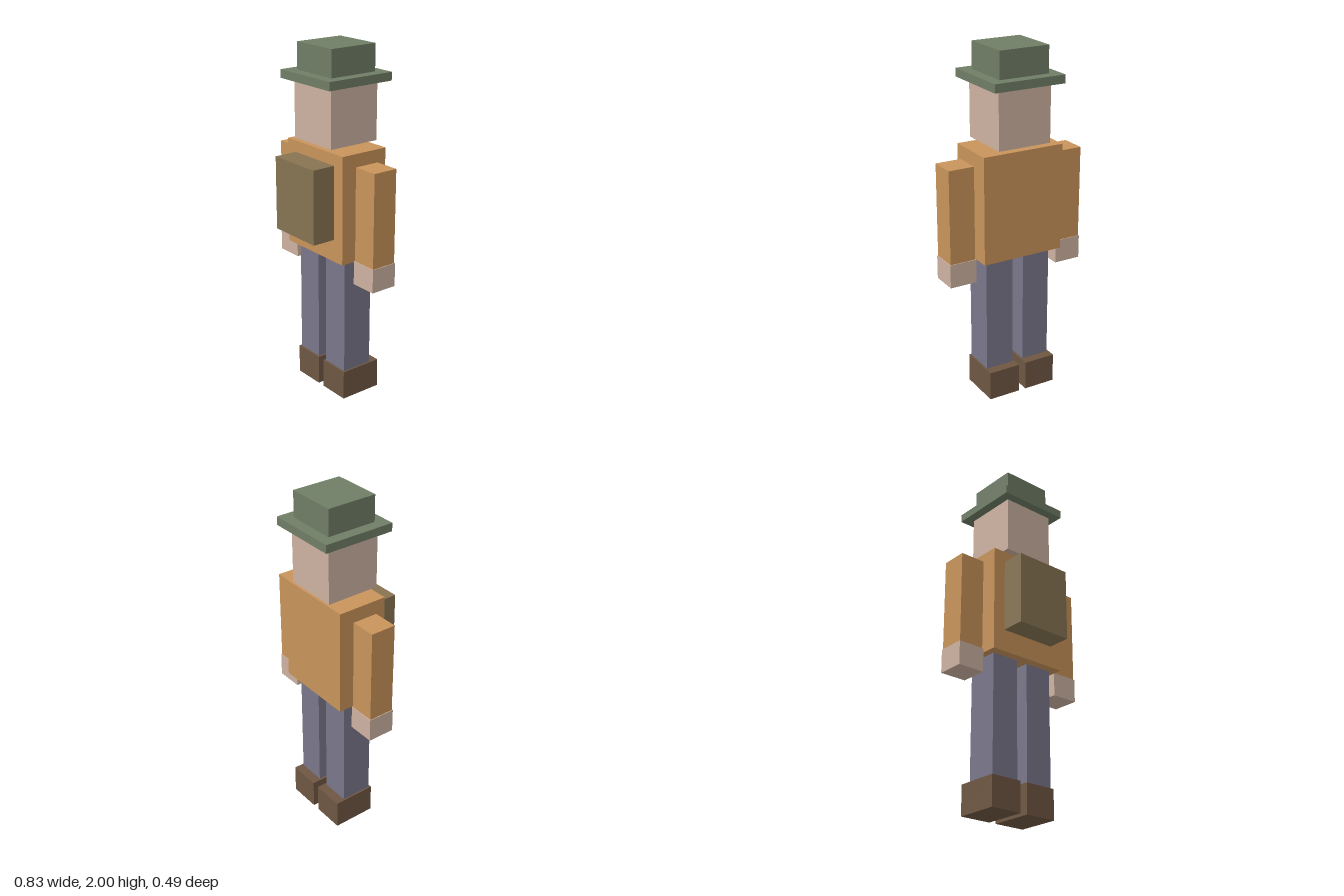
import * as THREE from 'three';

const COLORS = {
  hat: 0x6f7d66, skin: 0xcdb2a0, coat: 0xc8935a,
  pack: 0x877452, trousers: 0x7a768a, shoe: 0x6e5742,
};

// Box given by its [min, max] extents on each axis
function block(name, color, [x0, x1], [y0, y1], [z0, z1]) {
  const mesh = new THREE.Mesh(
    new THREE.BoxGeometry(x1 - x0, y1 - y0, z1 - z0),
    new THREE.MeshStandardMaterial({ color, flatShading: true }),
  );
  mesh.position.set((x0 + x1) / 2, (y0 + y1) / 2, (z0 + z1) / 2);
  mesh.name = name;
  return mesh;
}

export function createModel() {
  const model = new THREE.Group();
  model.name = 'blockFigure';

  // Centred parts: hat, head, torso and chest pack
  const centred = (name, color, halfWidth, y, z) =>
    model.add(block(name, color, [-halfWidth, halfWidth], y, z));
  centred('hatCrown', COLORS.hat, 0.147, [1.85, 2], [-0.185, 0.108]);
  centred('hatBrim', COLORS.hat, 0.21, [1.803, 1.85], [-0.247, 0.172]);
  centred('head', COLORS.skin, 0.157, [1.476, 1.803], [-0.193, 0.121]);
  centred('torso', COLORS.coat, 0.241, [0.847, 1.455], [-0.185, 0.109]);
  centred('chestPack', COLORS.pack, 0.168, [0.973, 1.39], [0.109, 0.245]);

  // Limbs, mirrored to both sides
  for (const [side, s] of [['left', 1], ['right', -1]]) {
    const limb = (part, color, [inner, outer], y, z) => {
      const x = s > 0 ? [inner, outer] : [-outer, -inner];
      model.add(block(side + part, color, x, y, z));
    };
    limb('Arm', COLORS.coat, [0.261, 0.41], [0.86, 1.39], [-0.113, 0.036]);
    limb('Hand', COLORS.skin, [0.256, 0.414], [0.725, 0.86], [-0.117, 0.04]);
    limb('Leg', COLORS.trousers, [0.034, 0.2], [0.1, 0.847], [-0.127, 0.058]);
    limb('Shoe', COLORS.shoe, [0.022, 0.21], [0, 0.17], [-0.182, 0.069]);
  }
  return model;
}
